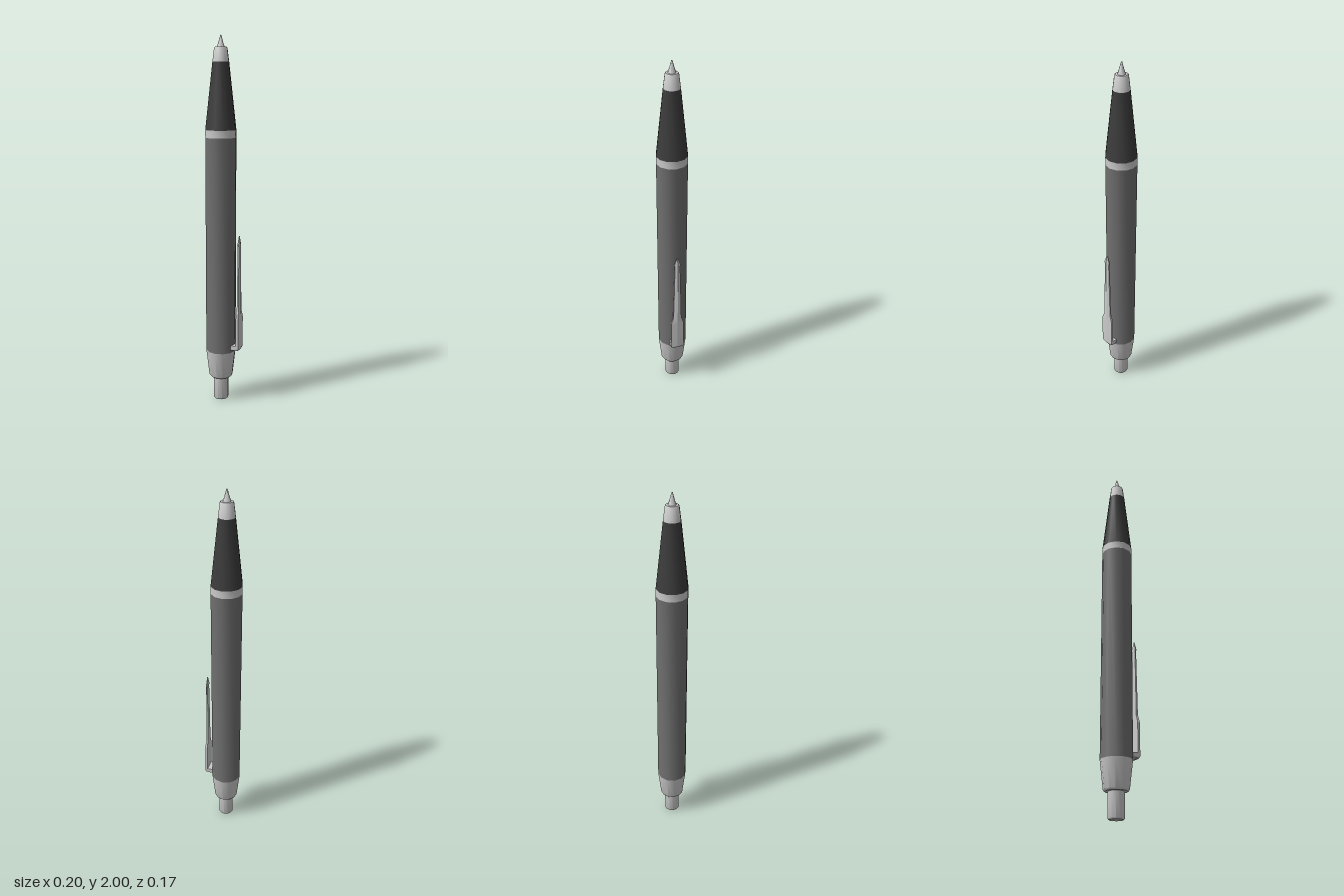
import * as THREE from 'three';
import { toCreasedNormals } from 'three/addons/utils/BufferGeometryUtils.js';

const SIDES = 12;
const AXIS_X = -0.02;

const material = (color) => new THREE.MeshStandardMaterial({ color });

// Turned part: profile of [radius, height] from bottom to top
function turned(name, profile, mat) {
  const points = profile.map(([r, y]) => new THREE.Vector2(r, y));
  const mesh = new THREE.Mesh(toCreasedNormals(new THREE.LatheGeometry(points, SIDES), 0.7), mat);
  mesh.name = name;
  return mesh;
}

// Clip blade: ridged cross-sections [height, half width, inner x, shoulder x, ridge x]
function bladeGeometry(sections) {
  const loops = sections.map(([y, w, xi, xs, xr]) => [
    [xi, y, w], [xs, y, w], [xr, y, 0], [xs, y, -w], [xi, y, -w],
  ]);
  const n = 5;
  const index = [];
  for (let s = 0; s < loops.length - 1; s++) {
    for (let i = 0; i < n; i++) {
      const a = s * n + i, b = s * n + (i + 1) % n;
      index.push(a, b, b + n, a, b + n, a + n);
    }
  }
  const last = (loops.length - 1) * n;
  for (let i = 1; i < n - 1; i++) {
    index.push(0, i + 1, i, last, last + i, last + i + 1);
  }
  const geometry = new THREE.BufferGeometry();
  geometry.setAttribute('position', new THREE.Float32BufferAttribute(loops.flat(2), 3));
  geometry.setIndex(index);
  return toCreasedNormals(geometry, 0.2);
}

export function createModel() {
  const pen = new THREE.Group();
  pen.name = 'pen';
  const metal = material(0xcccccc);
  const barrelGrey = material(0x707070);
  const gripBlack = material(0x3c3c3c);

  // Body, from push button up to the writing point
  const body = new THREE.Group();
  body.name = 'body';
  body.position.x = AXIS_X;
  body.add(
    turned('pushButton', [[0, 0], [0.037, 0], [0.042, 0.006], [0.042, 0.14]], metal),
    turned('endCollar', [[0, 0.134], [0.059, 0.134], [0.066, 0.142], [0.083, 0.29]], metal),
    turned('barrel', [[0.083, 0.29], [0.083, 1.475]], barrelGrey),
    turned('centreRing', [[0.083, 1.475], [0.083, 1.515]], metal),
    turned('grip', [[0.083, 1.515], [0.044, 1.865]], gripBlack),
    turned('noseCone', [[0.044, 1.865], [0.035, 1.934], [0.031, 1.94], [0, 1.94]], metal),
    turned('writingPoint', [[0.021, 1.938], [0.012, 1.965], [0.003, 1.998], [0, 2]], metal),
  );
  pen.add(body);

  // Pocket clip: a wide root, a narrow arm and an arrow-shaped end
  const clip = new THREE.Group();
  clip.name = 'pocketClip';
  const blade = new THREE.Mesh(bladeGeometry([
    [0.305, 0.033, 0.083, 0.092, 0.096],
    [0.315, 0.037, 0.083, 0.096, 0.1],
    [0.49, 0.037, 0.083, 0.096, 0.1],
    [0.53, 0.023, 0.083, 0.093, 0.099],
    [0.895, 0.014, 0.084, 0.091, 0.097],
    [0.9, 0.019, 0.083, 0.091, 0.097],
    [0.95, 0.002, 0.086, 0.089, 0.09],
  ]), metal);
  blade.name = 'clipBlade';
  const foot = new THREE.Mesh(new THREE.BoxGeometry(0.045, 0.025, 0.072), metal);
  foot.name = 'clipFoot';
  foot.position.set(0.0645, 0.319, 0);
  clip.add(blade, foot);
  pen.add(clip);

  return pen;
}
